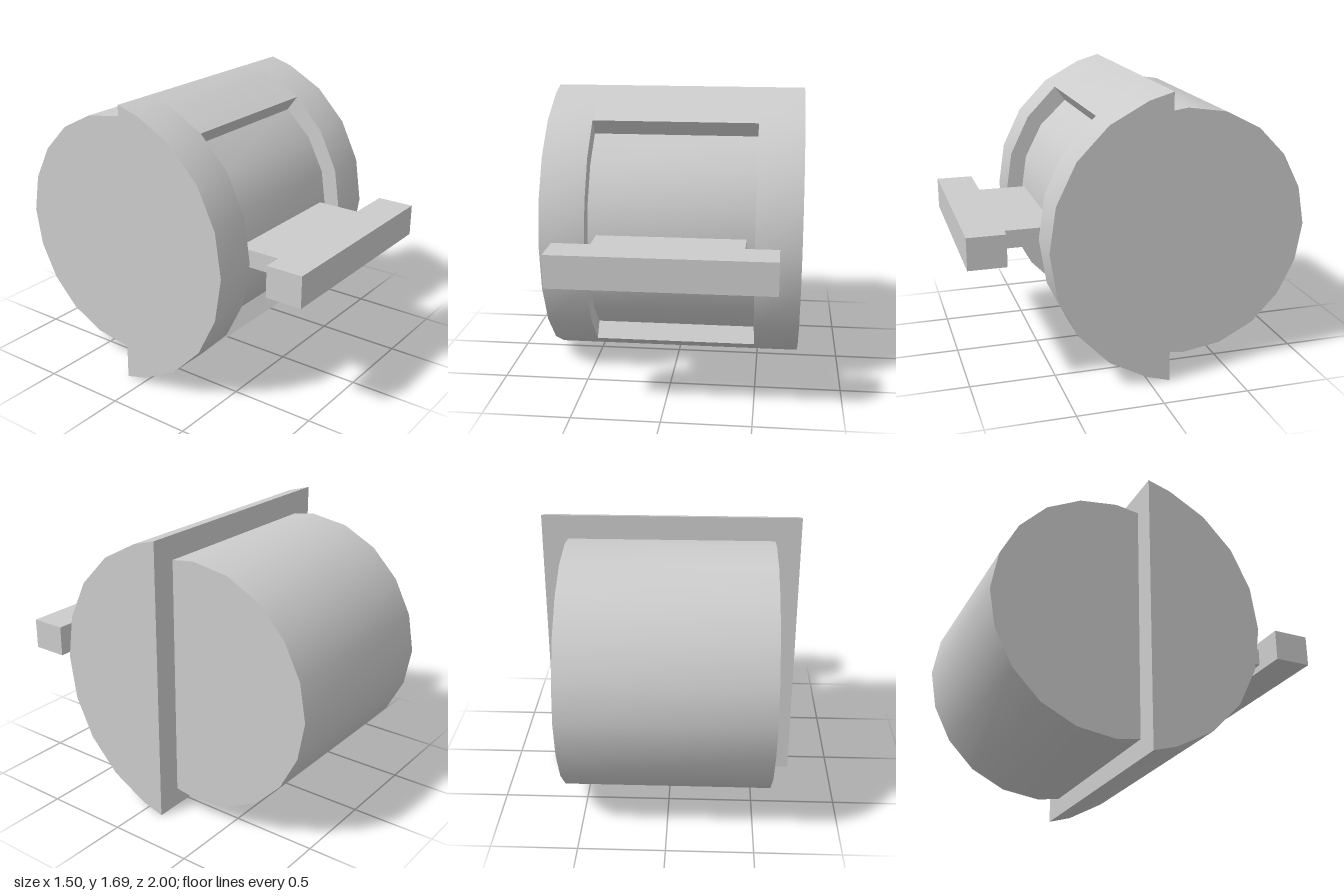
import * as THREE from 'three';
import { toCreasedNormals } from 'three/addons/utils/BufferGeometryUtils.js';

const MID = 0.843;
const material = new THREE.MeshStandardMaterial({ color: 0xcccccc });

// Completes an upper half profile of [z, y] points, ending at the tip, by mirroring about a height
function mirrored(half, mid) {
  const lower = half.slice(0, -1).reverse().map(([z, y]) => [z, 2 * mid - y]);
  return [...half, ...lower];
}

// Extrudes a [z, y] profile along x, centred on the given x
function profilePart(name, points, width, x = 0) {
  const shape = new THREE.Shape(points.map(([z, y]) => new THREE.Vector2(z, y)));
  const geometry = new THREE.ExtrudeGeometry(shape, { depth: width, bevelEnabled: false });
  geometry.translate(0, 0, -width / 2).rotateY(-Math.PI / 2);
  const mesh = new THREE.Mesh(toCreasedNormals(geometry, 0.6), material);
  mesh.name = name;
  mesh.position.x = x;
  return mesh;
}

function boxPart(name, width, y0, y1, z0, z1) {
  const mesh = new THREE.Mesh(new THREE.BoxGeometry(width, y1 - y0, z1 - z0), material);
  mesh.name = name;
  mesh.position.set(0, (y0 + y1) / 2, (z0 + z1) / 2);
  return mesh;
}

export function createModel() {
  const model = new THREE.Group();
  model.name = 'curvedShellWithHandle';

  // Rear drum, cut flat where it meets the front shell
  const drum = mirrored([
    [-0.12, 1.545], [-0.26, 1.565], [-0.49, 1.53], [-0.695, 1.425],
    [-0.855, 1.26], [-0.96, 1.055], [-1, 0.828],
  ], 0.828);
  model.add(profilePart('rearDrum', drum, 1.2));

  // Front shell: two full-depth sides and a recessed middle
  const shell = new THREE.Group();
  shell.name = 'frontShell';
  const rim = [[-0.12, 1.686], [0.02, 1.645], [0.24, 1.526]];
  const outer = mirrored([...rim, [0.42, 1.34], [0.535, 1.105], [0.575, MID]], MID);
  const recessed = mirrored([
    ...rim, [0.175, 1.437], [0.335, 1.285], [0.44, 1.08], [0.475, MID],
  ], MID);
  for (const side of [-1, 1]) {
    shell.add(profilePart(side > 0 ? 'leftShellSide' : 'rightShellSide', outer, 0.265, side * 0.6175));
  }
  shell.add(profilePart('recessedShellMiddle', recessed, 0.97));
  model.add(shell);

  // T-shaped handle rising from the recess
  model.add(boxPart('handleStem', 0.87, 0.79, 0.895, 0.45, 0.78));
  model.add(boxPart('handleBar', 1.25, 0.75, 0.937, 0.78, 1));

  return model;
}
